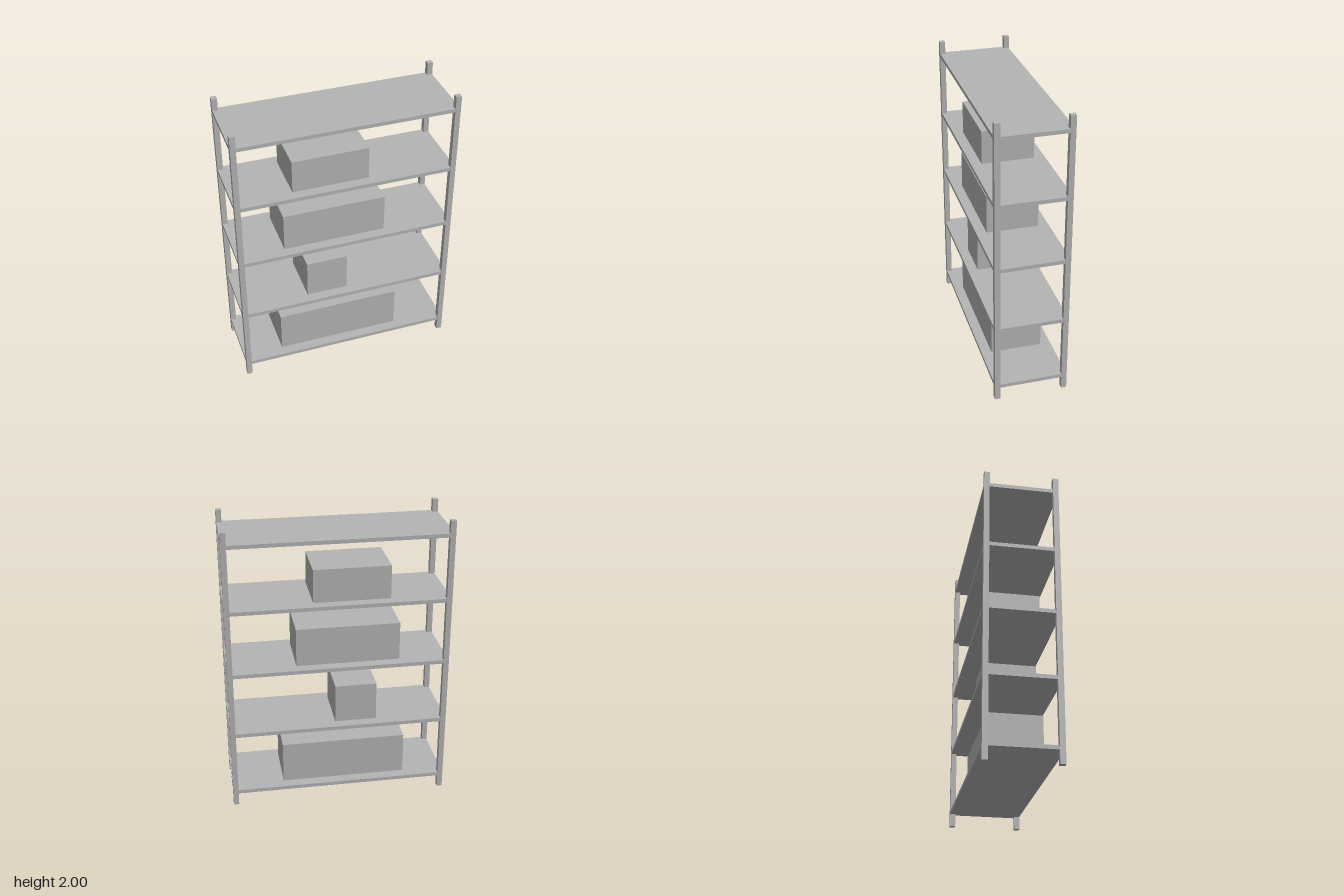
import * as THREE from 'three';

export function createModel() {
  const group = new THREE.Group();
  const grey = new THREE.MeshStandardMaterial({ color: 0xb4b4b4 });
  grey.name = 'grey';

  const W = 1.5, D = 0.5, H = 2, POST = 0.037;
  const SHELF = 0.026, FIRST = 0.114, STEP = 0.45;
  const INSET = 0.004; // shelf edges sit just inside the post faces

  // box standing on the height y
  const box = (name, w, h, d, x, y, z) => {
    const mesh = new THREE.Mesh(new THREE.BoxGeometry(w, h, d), grey);
    mesh.position.set(x, y + h / 2, z);
    mesh.name = name;
    group.add(mesh);
  };

  // corner posts
  for (const sx of [-1, 1]) {
    for (const sz of [-1, 1]) {
      const name = (sz > 0 ? 'front' : 'back') + (sx > 0 ? 'Left' : 'Right') + 'Post';
      box(name, POST, H, POST, sx * (W - POST) / 2, 0, sz * (D - POST) / 2);
    }
  }

  // shelves
  for (let i = 0; i < 5; i++) {
    box(`shelf${i + 1}`, W - INSET, SHELF, D - INSET, 0, FIRST + i * STEP - SHELF, 0);
  }

  // stored boxes, bottom to top: [x min, x max, height]
  const crates = [
    [-0.47, 0.388, 0.292],
    [-0.268, 0.018, 0.271],
    [-0.422, 0.282, 0.266],
    [-0.354, 0.165, 0.229],
  ];
  crates.forEach(([x0, x1, h], i) => {
    box(`storageBox${i + 1}`, x1 - x0, h, 0.355, (x0 + x1) / 2, FIRST + i * STEP, 0.002);
  });

  return group;
}
